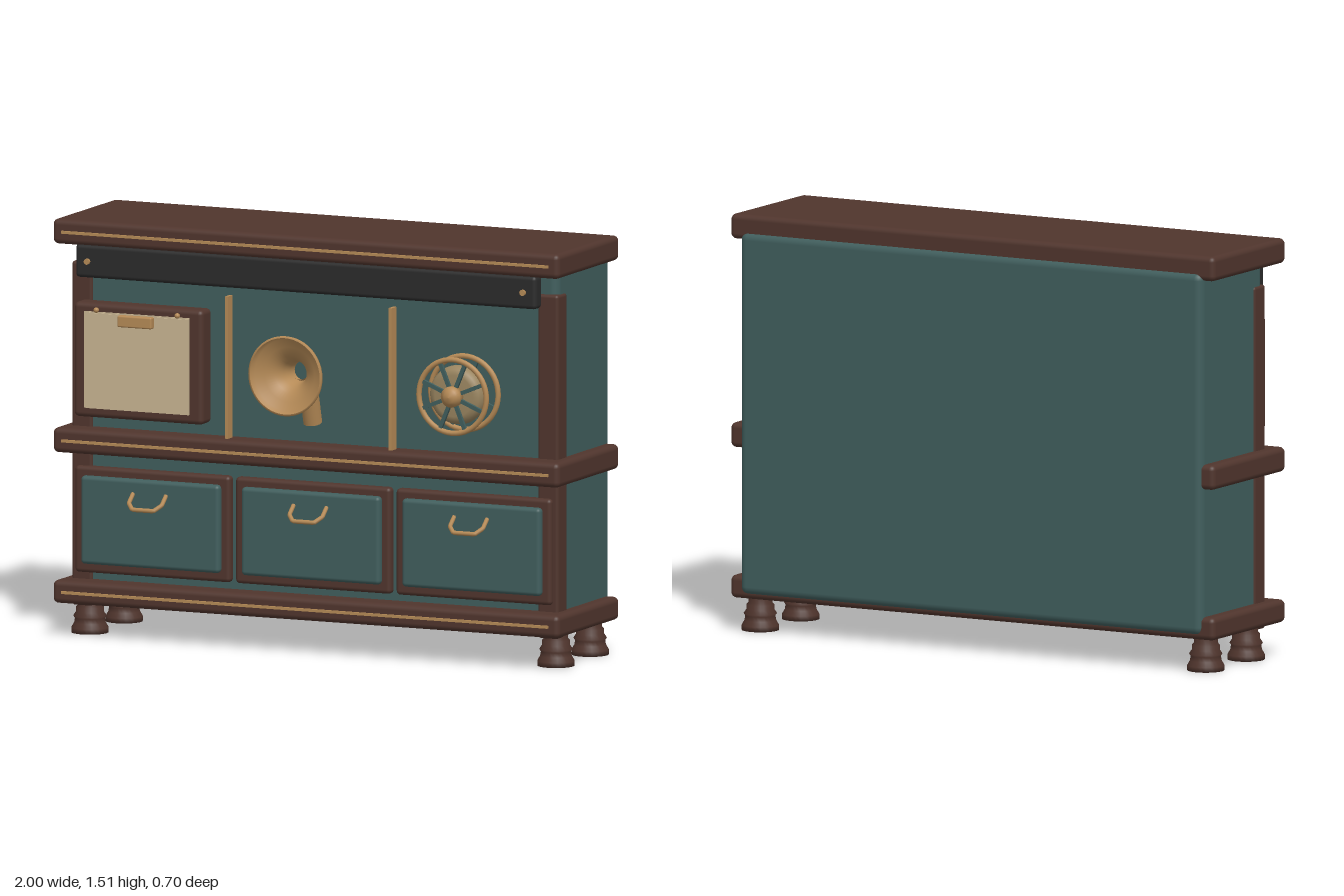
import * as THREE from 'three';
import { RoundedBoxGeometry } from 'three/addons/geometries/RoundedBoxGeometry.js';

const material = (name, color, side = THREE.FrontSide) => {
  const m = new THREE.MeshStandardMaterial({ color, side });
  m.name = name;
  return m;
};

export function createModel() {
  const model = new THREE.Group();
  model.name = 'cabinet';
  const wood = material('dark wood', 0x50352d);
  const teal = material('teal paint', 0x405e5d);
  const brass = material('brass', 0xb58a56, THREE.DoubleSide);
  const pipe = material('brass pipe', 0xb58a56);
  const cream = material('cream paper', 0xc8b592);
  const iron = material('dark iron', 0x2b2b2b);
  const rope = material('rope', 0x9a8560);

  const add = (name, geometry, mat, x = 0, y = 0, z = 0, parent = model) => {
    const mesh = new THREE.Mesh(geometry, mat);
    mesh.name = name;
    mesh.position.set(x, y, z);
    parent.add(mesh);
    return mesh;
  };
  // Box given by its limits, rounded when r > 0
  const block = (name, mat, [x0, x1], [y0, y1], [z0, z1], r = 0, parent = model) => {
    const size = [x1 - x0, y1 - y0, z1 - z0];
    const geometry = r ? new RoundedBoxGeometry(...size, 3, r) : new THREE.BoxGeometry(...size);
    return add(name, geometry, mat, (x0 + x1) / 2, (y0 + y1) / 2, (z0 + z1) / 2, parent);
  };
  const lathe = (points, segments = 40) =>
    new THREE.LatheGeometry(points.map(p => new THREE.Vector2(...p)), segments);

  // Carcass, slabs with brass inlays, corner posts
  block('body', teal, [-0.955, 0.955], [0.135, 1.45], [-0.352, 0.09], 0.03);
  for (const [name, y0, y1] of [['base', 0.12, 0.203], ['shelf', 0.665, 0.755], ['top', 1.42, 1.51]]) {
    block(name + 'Slab', wood, [-1, 1], [y0, y1], [-0.34, 0.18], 0.02);
    const y = (y0 + y1) / 2;
    block(name + 'Inlay', brass, [-0.96, 0.96], [y - 0.005, y + 0.005], [0.175, 0.188]);
  }
  for (const s of [-1, 1]) {
    const x = s * 0.92;
    block('post', wood, [x - 0.041, x + 0.041], [0.105, 1.35], [0.02, 0.1], 0.012);
    block('divider', brass, [s * 0.323 - 0.006, s * 0.323 + 0.006], [0.75, 1.27], [0.114, 0.154]);
    // Turned feet
    for (const z of [0.03, -0.258]) {
      add('foot', lathe([[0, 0], [0.067, 0], [0.067, 0.018], [0.057, 0.035], [0.054, 0.052],
        [0.06, 0.06], [0.05, 0.075], [0.05, 0.092], [0.043, 0.1], [0.043, 0.125]], 24), wood, x, 0, z);
    }
  }

  // Iron rail under the top
  block('rail', iron, [-0.91, 0.91], [1.305, 1.425], [0.122, 0.178], 0.015);
  for (const x of [-0.86, 0.86]) {
    add('railRivet', new THREE.CylinderGeometry(0.011, 0.011, 0.016, 16), brass, x, 1.365, 0.18)
      .rotation.x = Math.PI / 2;
  }

  // Drawers with U-shaped pulls
  for (const x of [-0.634, 0, 0.634]) {
    const drawer = new THREE.Group();
    drawer.name = 'drawer';
    drawer.position.x = x;
    model.add(drawer);
    block('drawerFrame', wood, [-0.307, 0.307], [0.228, 0.613], [0.07, 0.118], 0.015, drawer);
    block('drawerPanel', teal, [-0.274, 0.274], [0.262, 0.581], [0.09, 0.14], 0.015, drawer);
    const path = new THREE.CurvePath();
    const pts = [[-0.065, 0.53, 0.138], [-0.065, 0.5, 0.174], [-0.042, 0.481, 0.195],
      [0.042, 0.481, 0.195], [0.065, 0.5, 0.174], [0.065, 0.53, 0.138]]
      .map(p => new THREE.Vector3(...p));
    pts.slice(1).forEach((p, i) => path.add(new THREE.LineCurve3(pts[i], p)));
    add('drawerPull', new THREE.TubeGeometry(path, 40, 0.008, 8), brass, 0, 0, 0, drawer);
  }

  // Framed paper sheet with a clip
  block('sheetFrame', wood, [-0.905, -0.395], [0.805, 1.22], [0.12, 0.203], 0.018);
  block('backSheet', cream, [-0.86, -0.445], [0.84, 1.19], [0.2, 0.207]);
  block('frontSheet', cream, [-0.84, -0.445], [0.84, 1.185], [0.207, 0.212]);
  block('clip', brass, [-0.715, -0.58], [1.145, 1.187], [0.212, 0.24], 0.006);
  for (const x of [-0.81, -0.49]) {
    add('sheetPin', new THREE.SphereGeometry(0.01, 12, 8), brass, x, 1.197, 0.212);
  }

  // Flared horn on a bent pipe
  add('horn', lathe([[0.034, 0.195], [0.036, 0.23], [0.046, 0.265], [0.066, 0.292], [0.1, 0.312],
    [0.13, 0.325], [0.143, 0.338], [0.145, 0.35], [0.138, 0.352]], 48), brass, 0, 1.03, 0)
    .rotation.x = Math.PI / 2;
  const bend = new THREE.CatmullRomCurve3([[0, 1.03, 0.21], [0, 1.005, 0.165], [0, 0.92, 0.14], [0, 0.83, 0.115]]
    .map(p => new THREE.Vector3(...p)));
  add('hornPipe', new THREE.TubeGeometry(bend, 24, 0.034, 20), pipe);

  // Spool: two spoked rims, wound drum and hub
  const spool = new THREE.Group();
  spool.name = 'spool';
  spool.position.set(0.64, 0.992, 0);
  model.add(spool);
  for (const z of [0.203, 0.303]) {
    add('spoolRim', new THREE.TorusGeometry(0.133, 0.01, 10, 48), brass, 0, 0, z, spool);
    for (let i = 0; i < 8; i++) {
      const a = i * Math.PI / 4 + Math.PI / 8;
      add('spoke', new THREE.BoxGeometry(0.105, 0.014, 0.012), teal,
        Math.cos(a) * 0.078, Math.sin(a) * 0.078, z, spool).rotation.z = a;
    }
  }
  const drum = lathe([[0, 0.212], [0.075, 0.212], [0.094, 0.22], [0.104, 0.235], [0.107, 0.253],
    [0.104, 0.271], [0.094, 0.286], [0.075, 0.294], [0, 0.294]]);
  add('drum', drum, rope, 0, 0, 0, spool).rotation.x = Math.PI / 2;
  add('axle', new THREE.CylinderGeometry(0.03, 0.03, 0.23, 24), brass, 0, 0, 0.195, spool)
    .rotation.x = Math.PI / 2;
  add('hub', lathe([[0, 0.29], [0.038, 0.29], [0.038, 0.322], [0.027, 0.328], [0.02, 0.338], [0, 0.341]], 24),
    brass, 0, 0, 0, spool).rotation.x = Math.PI / 2;

  return model;
}
